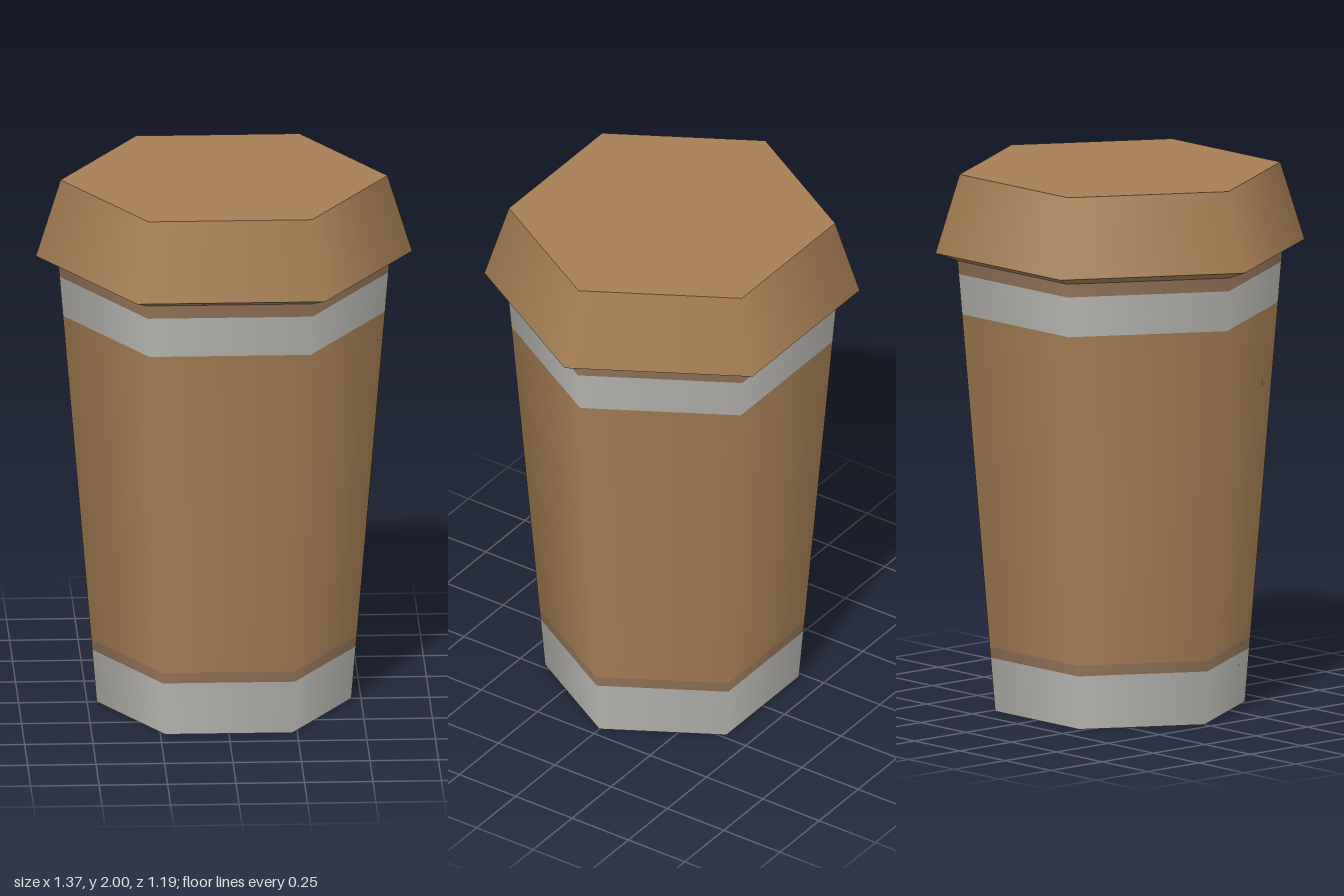
import * as THREE from 'three';

const mat = (name, color) => {
  const m = new THREE.MeshStandardMaterial({ color });
  m.name = name;
  return m;
};

export function createModel() {
  const group = new THREE.Group();
  group.name = 'lidded cup';

  const brown = mat('brown', 0xa57e53);
  const duskyBrown = mat('dusky brown', 0x937358);
  const grey = mat('light grey', 0xb7b5b0);

  // Six-sided tapered ring with corners on the x axis
  const ring = (name, y0, r0, y1, r1, material) => {
    const geo = new THREE.CylinderGeometry(r1, r0, y1 - y0, 6, 1, true, Math.PI / 2);
    geo.translate(0, (y0 + y1) / 2, 0);
    const mesh = new THREE.Mesh(geo, material);
    mesh.name = name;
    group.add(mesh);
  };

  // Flat hexagonal end face, facing up or down
  const cap = (name, y, r, up, material) => {
    const geo = new THREE.CircleGeometry(r, 6);
    geo.rotateX(up ? -Math.PI / 2 : Math.PI / 2);
    geo.translate(0, y, 0);
    const mesh = new THREE.Mesh(geo, material);
    mesh.name = name;
    group.add(mesh);
  };

  // Tapered cup wall, split into colour bands
  const wall = (y) => 0.465 + (0.605 - 0.465) * (y / 1.68);
  const bands = [
    ['baseBand', 0, 0.2, grey],
    ['lowerTrim', 0.2, 0.24, duskyBrown],
    ['cupBody', 0.24, 1.48, brown],
    ['upperBand', 1.48, 1.63, grey],
    ['upperTrim', 1.63, 1.68, duskyBrown],
  ];
  for (const [name, y0, y1, m] of bands) ring(name, y0, wall(y0), y1, wall(y1), m);
  cap('cupBottom', 0, wall(0), false, grey);

  // Overhanging lid: underside lip, sloped side and flat top
  ring('lidUnderside', 1.68, 0.605, 1.71, 0.687, brown);
  ring('lidSide', 1.71, 0.687, 2, 0.597, brown);
  cap('lidTop', 2, 0.597, true, brown);

  return group;
}
